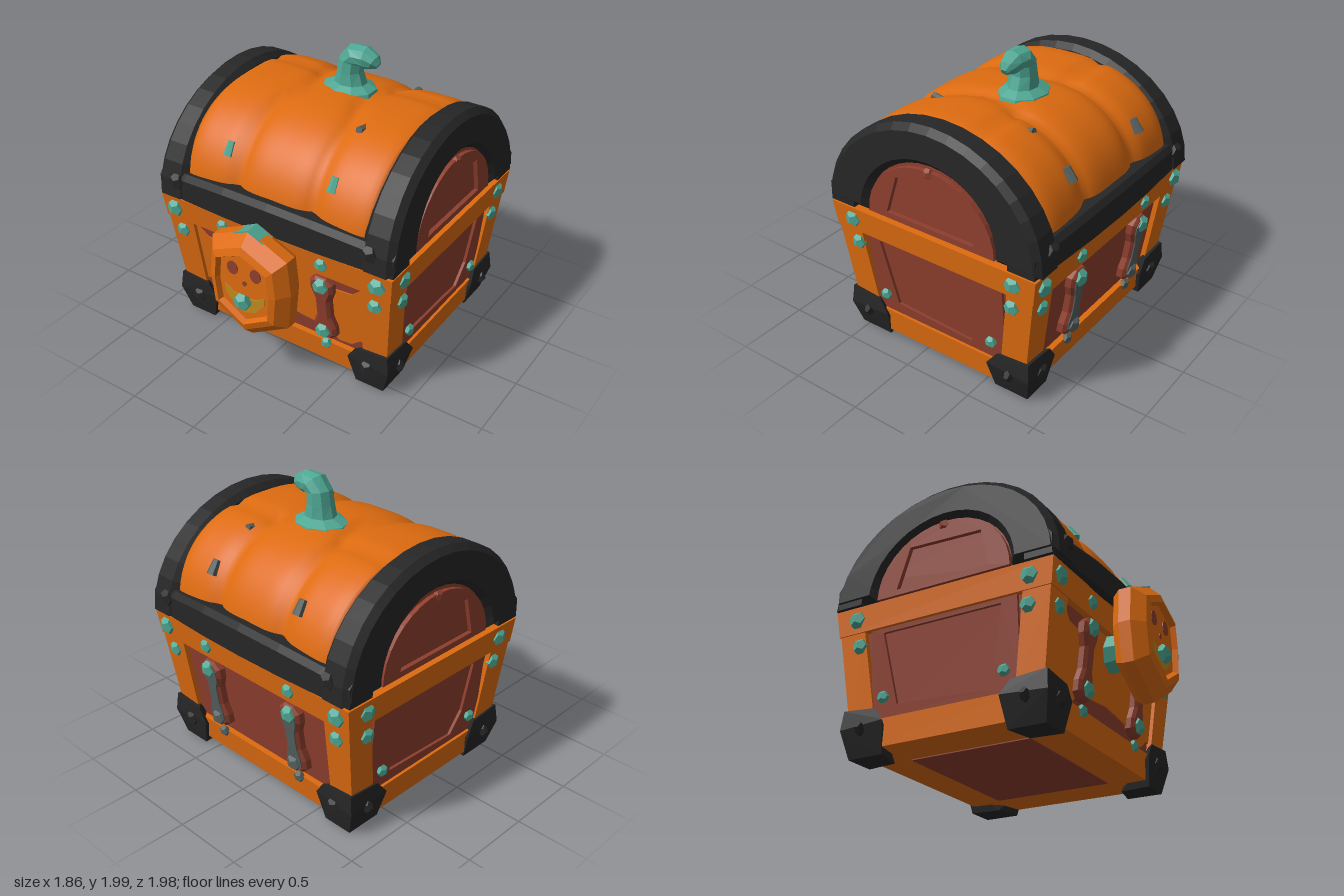
import * as THREE from 'three';
import { ConvexGeometry } from 'three/addons/geometries/ConvexGeometry.js';

const mat = (name, color) => Object.assign(new THREE.MeshStandardMaterial({ color }), { name });
const V = (x, y, z) => new THREE.Vector3(x, y, z);

// Tapered chest body: half width and half depth at height y
const hx = y => 0.81 + 0.09 * y;
const hz = y => 0.66 + 0.13 * y;

// Closed skin through rings of equal length
function loft(rings) {
  const n = rings[0].length, pos = [], idx = [];
  rings.forEach(r => r.forEach(p => pos.push(p.x, p.y, p.z)));
  for (let i = 0; i < rings.length - 1; i++) for (let j = 0; j < n; j++) {
    const a = i * n + j, b = i * n + (j + 1) % n;
    idx.push(a, b, b + n, a, b + n, a + n);
  }
  const cap = (ring, start, flip) => {
    const c = ring.reduce((s, p) => s.add(p), V(0, 0, 0)).divideScalar(n);
    const k = pos.length / 3;
    pos.push(c.x, c.y, c.z);
    for (let j = 0; j < n; j++) {
      const a = start + j, b = start + (j + 1) % n;
      idx.push(k, flip ? b : a, flip ? a : b);
    }
  };
  cap(rings[0], 0, true);
  cap(rings.at(-1), (rings.length - 1) * n, false);
  const g = new THREE.BufferGeometry();
  g.setAttribute('position', new THREE.Float32BufferAttribute(pos, 3));
  g.setIndex(idx);
  return g;
}

// Move every vertex by a rule
function warp(g, rule) {
  const p = g.attributes.position, v = V(0, 0, 0);
  for (let i = 0; i < p.count; i++) {
    rule(v.fromBufferAttribute(p, i));
    p.setXYZ(i, v.x, v.y, v.z);
  }
  return g;
}

// Box whose x and z limits depend on height
function taperBox(y0, y1, limits) {
  return warp(new THREE.BoxGeometry(1, 1, 1), v => {
    const y = v.y < 0 ? y0 : y1, [x0, x1, z0, z1] = limits(y);
    v.set(v.x < 0 ? x0 : x1, y, v.z < 0 ? z0 : z1);
  });
}

const shapeOf = pts => new THREE.Shape(pts.map(p => new THREE.Vector2(...p)));
const mirrored = half => [...half, ...half.map(([x, y]) => [-x, y]).reverse()];
const plate = (shape, depth, bevel = 0) => new THREE.ExtrudeGeometry(shape, {
  depth, bevelEnabled: bevel > 0, bevelThickness: bevel, bevelSize: bevel, bevelOffset: -bevel, bevelSegments: 1, curveSegments: 12 });
// Half ellipse standing on y = 1.01
const arc = (a, b, n = 18) => Array.from({ length: n + 1 }, (_, i) => {
  const t = Math.PI * i / n;
  return [a * Math.cos(t), 1.01 + b * Math.sin(t)];
});

export function createModel() {
  const orange = mat('pumpkin orange', 0xdd6b10), black = mat('iron black', 0x262626);
  const red = mat('red wood', 0x8f3f2e), teal = mat('teal', 0x4ea794);
  const grey = mat('dull grey', 0x56615f), yellow = mat('yellow', 0xc08a1e);

  const model = new THREE.Group();
  const chest = new THREE.Group();
  chest.name = 'chest';
  chest.position.z = -0.135;
  model.add(chest);

  const add = (parent, name, geometry, material, smooth = false) => {
    const g = !smooth && geometry.index ? geometry.toNonIndexed() : geometry;
    g.computeVertexNormals();
    const m = new THREE.Mesh(g, material);
    m.name = name;
    parent.add(m);
    return m;
  };
  const turned = (name, angle) => {
    const g = new THREE.Group();
    g.name = name;
    g.rotation.y = angle;
    chest.add(g);
    return g;
  };
  const stud = (parent, x, y, z, r, material = teal, name = 'stud') => {
    const m = add(parent, name, new THREE.DodecahedronGeometry(r), material);
    m.position.set(x, y, z);
    m.scale.z = 0.7;
    return m;
  };

  // Body core, bands, posts and underside
  const inset = d => y => [-hx(y) + d, hx(y) - d, -hz(y) + d, hz(y) - d];
  add(chest, 'bodyCore', taperBox(0.06, 0.96, inset(0.035)), red);
  add(chest, 'topBand', taperBox(0.81, 0.985, inset(-0.008)), orange);
  add(chest, 'bottomBand', taperBox(0.045, 0.22, inset(-0.005)), orange);
  add(chest, 'undersidePanel', new THREE.BoxGeometry(1.05, 0.008, 0.85), red).position.y = 0.042;
  for (const sx of [-1, 1]) for (const sz of [-1, 1]) {
    add(chest, 'cornerPost', taperBox(0.2, 0.82, y => {
      const x = [sx * hx(y), sx * (hx(y) - 0.17 - 0.05 * y)], z = [sz * hz(y), sz * (hz(y) - 0.19)];
      return [Math.min(...x), Math.max(...x), Math.min(...z), Math.max(...z)];
    }), orange);
    const foot = [[0.6, 0, 0.69], [0.81, 0, 0.69], [0.81, 0, 0.44], [0.62, 0, 0.48], [0.55, 0.2, 0.72], [0.865, 0.18, 0.73],
      [0.865, 0.2, 0.41], [0.61, 0.29, 0.72], [0.85, 0.31, 0.72], [0.85, 0.29, 0.48]];
    add(chest, 'cornerFoot', new ConvexGeometry(foot.map(([x, y, z]) => V(sx * x, y, sz * z))), black);
    stud(chest, sx * 0.7, 0.17, sz * 0.715, 0.055, black, 'footRivet');
    stud(chest, sx * 0.85, 0.17, sz * 0.58, 0.05, black, 'footRivet');
  }

  // Front and back: straps, studs and lid rail
  const strapHalf = [[0.04, 0.27], [0.085, 0.31], [0.085, 0.38], [0.055, 0.46], [0.055, 0.6], [0.085, 0.68], [0.085, 0.75], [0.04, 0.79]];
  const lean = v => { v.z += hz(v.y); };
  for (const isFront of [true, false]) {
    const face = turned(isFront ? 'frontSide' : 'backSide', isFront ? 0 : Math.PI);
    for (const s of [-1, 1]) {
      const strap = add(face, 'strap', warp(plate(shapeOf(mirrored(strapHalf)), 0.04, 0.02), lean), red);
      strap.position.set(s * 0.375, 0, -0.03);
      if (!isFront) {
        const inlay = mirrored(strapHalf.map(([x, y]) => [x * 0.72, 0.53 + (y - 0.53) * 0.9]));
        add(face, 'strapInlay', warp(plate(shapeOf(inlay), 0.008), lean), grey).position.set(s * 0.375, 0, 0.029);
      }
      for (const [x, y, r, lift] of [[0.8, 0.9, 0.065, 0.01], [0.39, 0.9, 0.05, 0.01], [0.77, 0.72, 0.055, 0], [0.385, 0.73, 0.06, 0.03],
        [0.37, 0.34, 0.06, 0.03], [0.37, 0.21, 0.042, 0.01]])
        stud(face, s * x, y, hz(y) + lift, r, isFront || y > 0.4 ? teal : grey);
      stud(face, s * 0.75, 1.13, 0.805, 0.06, black, 'railRivet');
    }
    const rail = [-0.91, -0.68, -0.35, 0, 0.35, 0.68, 0.91].map(x => {
      const k = 1 - (x / 0.91) ** 2, y0 = 1 + 0.01 * k, y1 = 1.17 + 0.055 * k, z = 0.79 + 0.05 * k;
      return [V(x, y0, 0.6), V(x, y1, 0.6), V(x, y1, z - 0.03), V(x, y1 - 0.04, z), V(x, y0, z)];
    });
    add(face, 'lidRail', loft(rail), black);
    if (isFront) {
      // Orange panel with red scallops left free above and below
      const half = [[0, 0.36], [0.3, 0.33], [0.4, 0.3], [0.45, 0.25], [0.55, 0.26], [0.62, 0.32], [0.73, 0.3], [0.73, 0.8],
        [0.66, 0.78], [0.58, 0.71], [0.45, 0.7], [0.36, 0.73], [0.33, 0.8], [0, 0.8]];
      add(face, 'frontPanel', warp(plate(shapeOf(mirrored(half)), 0.009), lean), orange).position.z = -0.034;
    }
  }

  // Ends: lid arches, end panels, raised frames and studs
  const toSide = g => g.rotateY(Math.PI / 2);
  const frame = (outer, hole) => {
    const s = shapeOf(outer);
    s.holes.push(new THREE.Path(hole.map(p => new THREE.Vector2(...p))));
    return s;
  };
  for (const angle of [0, Math.PI]) {
    const end = turned(angle ? 'rightEnd' : 'leftEnd', angle);
    const band = shapeOf([...arc(0.825, 0.715), ...arc(0.5, 0.46).reverse()]);
    const archGeo = warp(toSide(plate(band, 0.16, 0.04)), v => { v.x += 0.72 - (v.x > 0.1 ? 0.05 * (v.y - 1) : 0); });
    add(end, 'lidArch', archGeo, black);
    add(end, 'lidEndPanel', toSide(plate(shapeOf(arc(0.52, 0.48)), 0.2)), red).position.x = 0.66;
    const lidHole = [[0.34, 1.05], [0.28, 1.31], [-0.25, 1.33], [-0.34, 1.05]];
    add(end, 'lidEndFrame', toSide(plate(frame(arc(0.49, 0.44), lidHole), 0.035)), red).position.x = 0.855;
    const knob = stud(end, 0.88, 1.43, 0, 0.04, red, 'panelRivet');
    knob.rotation.y = Math.PI / 2;
    const sideOuter = [[-0.53, 0.22], [0.53, 0.22], [0.53, 0.81], [-0.53, 0.81]];
    const sideHole = [[-0.44, 0.78], [-0.34, 0.3], [0.26, 0.27], [0.36, 0.42], [0.42, 0.78]];
    const sideGeo = warp(toSide(plate(frame(sideOuter, sideHole), 0.022)), v => { v.x += hx(v.y) - 0.037; });
    add(end, 'sideFrame', sideGeo, red);
    for (const s of [-1, 1])
      for (const [z, y, r] of [[0.63, 0.9, 0.063], [0.61, 0.72, 0.055], [0.43, 0.355, 0.042]])
        stud(end, hx(y), y, s * z, r).rotation.y = Math.PI / 2;
  }

  // Pumpkin lid: ribbed arch swept across x
  const lidPoint = (x, t) => {
    const c = -Math.cos(t), s = Math.sin(t), ax = Math.abs(x);
    const z = 0.785 * Math.sign(c) * Math.abs(c) ** 0.83, y = 0.695 * Math.max(s, 0) ** 0.83;
    const g = 0.29 - 0.09 * Math.exp(-(((z - 0.02) / 0.22) ** 2));
    const m = (g + 0.74) / 2;
    const u = ax < g ? ax / g : (ax - m) / (0.74 - m);
    let k = 1 - 0.06 * u ** 4;
    if (ax > g) k -= 0.005 + 0.035 * Math.exp(-(((z + 0.23) / 0.045) ** 2));
    return V(x, 1.0 + y * k, z * k);
  };
  const ribs = Array.from({ length: 37 }, (_, i) => {
    const x = -0.72 + 0.04 * i;
    return Array.from({ length: 41 }, (_, j) => lidPoint(x, Math.PI * j / 40));
  });
  add(chest, 'pumpkinLid', loft(ribs), orange, true);

  // Small pegs on the lid
  for (const [x, y, z, m] of [[-0.4, 1.42, 0.66, teal], [0.4, 1.42, 0.66, teal], [0.38, 1.64, 0.31, grey],
    [-0.4, 1.43, -0.68, grey], [0.39, 1.43, -0.68, grey], [0.37, 1.61, -0.36, grey]]) {
    const peg = add(chest, 'lidPeg', new THREE.CylinderGeometry(0.025, 0.035, 0.1, 6), m);
    peg.position.set(x, y, z);
    peg.rotation.x = Math.sign(z) * (Math.abs(z) > 0.5 ? -0.55 : 1.3);
  }

  // Curled stem: x, y, radius, heading
  const stem = [[0.02, 1.62, 0.21, 1.57], [0.02, 1.685, 0.19, 1.57], [0.03, 1.72, 0.115, 1.57], [0.025, 1.8, 0.09, 1.6],
    [0.035, 1.88, 0.085, 1.4], [0.085, 1.92, 0.088, 0.75], [0.15, 1.915, 0.075, 0], [0.205, 1.895, 0.055, -0.5], [0.235, 1.875, 0.025, -0.6]];
  const stemRings = stem.map(([x, y, r, h]) => Array.from({ length: 9 }, (_, j) => {
    const t = j / 9 * Math.PI * 2, u = r * Math.cos(t);
    return V(x - Math.sin(h) * u, y + Math.cos(h) * u, -0.225 + Math.max(r * 0.85, Math.min(r, 0.09)) * Math.sin(t));
  }));
  add(model, 'stem', loft(stemRings), teal);

  // Lock medallion with a painted face
  const lock = new THREE.Group();
  lock.name = 'lock';
  lock.position.y = 0.73;
  model.add(lock);
  const oct = [[0.29, -0.23], [0.315, 0.03], [0.29, 0.27], [0, 0.4], [-0.29, 0.27], [-0.32, 0.03], [-0.29, -0.23], [0, -0.4]];
  const rings = [[0.9, 0.74], [1, 0.79], [1, 0.87], [0.8, 0.95], [0.67, 0.965], [0.62, 0.93]];
  add(lock, 'lockPlate', loft(rings.map(([k, z]) => oct.map(([x, y]) => V(x * k, y * k, z)))), orange);
  const tip = add(lock, 'lockTip', plate(shapeOf([[-0.12, 0.345], [0.12, 0.345], [0, 0.403]]), 0.1), teal);
  tip.position.z = 0.778;
  const shank = add(lock, 'lockShank', new THREE.CylinderGeometry(0.11, 0.13, 0.18, 8), teal);
  shank.rotation.x = Math.PI / 2;
  shank.position.set(0, -0.02, 0.665);
  const dot = (name, x, y, rx, ry) => {
    const m = add(lock, name, new THREE.CylinderGeometry(1, 1, 0.006, 12).rotateX(Math.PI / 2), red);
    m.scale.set(rx, ry, 1);
    m.position.set(x, y, 0.933);
  };
  for (const s of [-1, 1]) dot('eye', s * 0.09, 0.125, 0.042, 0.05);
  dot('nose', 0, 0.035, 0.015, 0.018);
  const grin = mirrored([[0, -0.19], [0.08, -0.16], [0.15, -0.08], [0.16, -0.02], [0.08, -0.06], [0, -0.07]]);
  add(lock, 'grin', plate(shapeOf(grin), 0.006), yellow).position.z = 0.93;
  stud(lock, -0.005, -0.095, 0.955, 0.065, teal, 'lockKnob');
  return model;
}
